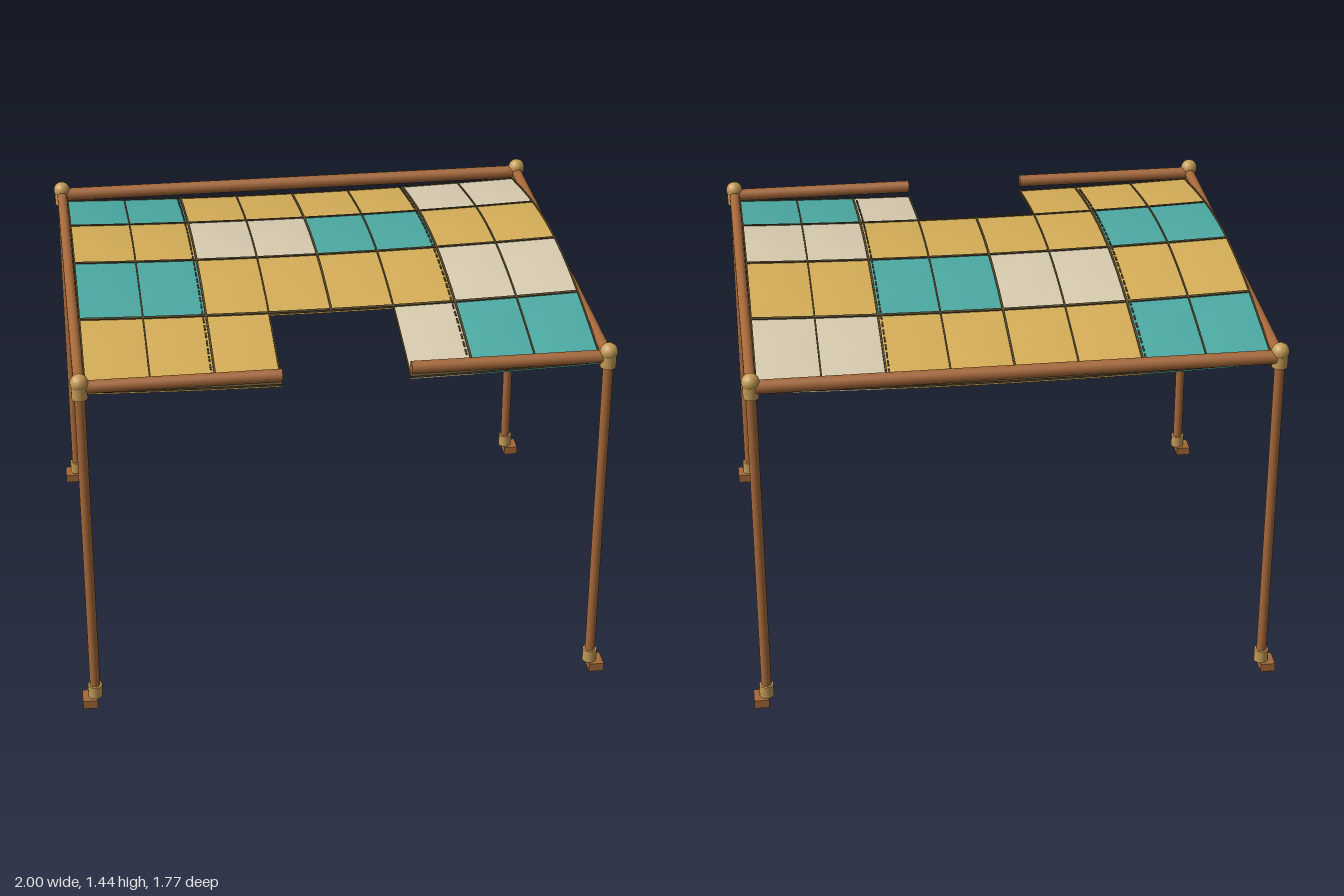
import * as THREE from 'three';

const mat = (name, color) => {
  const m = new THREE.MeshStandardMaterial({ color });
  m.name = name;
  return m;
};

export function createModel() {
  const root = new THREE.Group();
  root.name = 'patchworkCanopy';
  const copper = mat('copper', 0xa5683a);
  const brass = mat('brass', 0xc49c56);
  const seamDark = mat('dark seam', 0x54482c);
  const cloth = {
    G: mat('gold cloth', 0xd6ae58),
    T: mat('teal cloth', 0x4caaa3),
    C: mat('cream cloth', 0xd8ccb0),
  };

  const add = (name, geo, material, x = 0, y = 0, z = 0, parent = root) => {
    const m = new THREE.Mesh(geo, material);
    m.name = name;
    m.position.set(x, y, z);
    parent.add(m);
    return m;
  };
  const PX = 0.951, PZ = 0.846, RAIL = 1.35;

  // Posts with feet, collars and ball joints
  for (const sx of [-1, 1]) for (const sz of [-1, 1]) {
    const post = new THREE.Group();
    post.name = 'cornerPost';
    post.position.set(sx * PX, 0, sz * PZ);
    root.add(post);
    add('foot', new THREE.BoxGeometry(0.056, 0.034, 0.076), copper, sx * 0.021, 0.017, 0, post);
    add('footCollar', new THREE.CylinderGeometry(0.027, 0.027, 0.05, 20), brass, 0, 0.058, 0, post);
    add('pole', new THREE.CylinderGeometry(0.019, 0.019, 1.28, 20), copper, 0, 0.7, 0, post);
    add('topCollar', new THREE.CylinderGeometry(0.029, 0.029, 0.045, 20), brass, 0, 1.333, 0, post);
    add('ballJoint', new THREE.SphereGeometry(0.033, 20, 14), brass, 0, 1.371, 0, post);
  }

  // Rails; the front one is interrupted by the opening
  const railX = (name, x0, x1, z, r) => {
    add(name, new THREE.CylinderGeometry(r, r, x1 - x0, 20), copper, (x0 + x1) / 2, RAIL, z).rotation.z = Math.PI / 2;
  };
  railX('backRail', -PX, PX, -PZ, 0.026);
  railX('frontRailRight', -PX, -0.232, 0.84, 0.024);
  railX('frontRailLeft', 0.232, PX, 0.84, 0.024);
  for (const s of [-1, 1]) {
    add('sideRail', new THREE.CylinderGeometry(0.02, 0.02, PZ * 2, 20), copper, s * PX, RAIL, 0).rotation.x = Math.PI / 2;
  }

  // Arched cloth surface, sagging to the middle, with a slight puff in each patch
  const CW = 0.2325, RD = 0.415, HX = CW * 4, HZ = RD * 2;
  const surface = (x, z) =>
    1.326 + 0.108 * Math.cos((Math.PI / 2) * (z / HZ))
    - 0.018 * (1 - (x / HX) ** 2)
    + 0.004 * Math.abs(Math.sin(Math.PI * x / CW) * Math.sin(Math.PI * z / RD));

  const draped = (x0, x1, z0, z1, thick, lift, nx, nz) => {
    const g = new THREE.BoxGeometry(x1 - x0, thick, z1 - z0, nx, 1, nz);
    g.translate((x0 + x1) / 2, lift, (z0 + z1) / 2);
    const p = g.attributes.position;
    for (let i = 0; i < p.count; i++) p.setY(i, p.getY(i) + surface(p.getX(i), p.getZ(i)));
    g.computeVertexNormals();
    return g;
  };

  // Patches: eight half-columns by four rows, back to front
  const canopy = new THREE.Group();
  canopy.name = 'canopy';
  root.add(canopy);
  const rows = ['TTGGGGCC', 'GGCCTTGG', 'TTGGGGCC', 'GGG  CTT'];
  rows.forEach((row, r) => [...row].forEach((c, k) => {
    if (c === ' ') return;
    const x = -HX + k * CW, z = -HZ + r * RD;
    add('clothPatch', draped(x, x + CW, z, z + RD, 0.012, -0.006, 6, 10), cloth[c], 0, 0, 0, canopy);
  }));

  // Seams along and across the canopy
  const seam = (name, x0, x1, z0, z1, nx, nz) =>
    add(name, draped(x0, x1, z0, z1, 0.007, 0.0005, nx, nz), seamDark, 0, 0, 0, canopy);
  for (let k = 0; k <= 8; k++) {
    const x = -HX + k * CW;
    const w = k % 8 === 0 ? 0.003 : k % 2 ? 0.003 : 0.004;
    seam('lengthSeam', x - w, x + w, -HZ, k === 4 ? RD : HZ, 1, 40);
  }
  for (let r = 0; r <= 4; r++) {
    const z = -HZ + r * RD;
    const spans = r === 4 ? [[-HX, -CW], [CW, HX]] : [[-HX, HX]];
    for (const [a, b] of spans) seam('crossSeam', a, b, z - 0.006, z + 0.006, 48, 1);
  }

  // Dashed stitching beside two seams
  for (const x of [-0.477, 0.453]) {
    for (let z = -HZ + 0.02; z < HZ - 0.04; z += 0.046) {
      seam('stitch', x - 0.003, x + 0.003, z, z + 0.028, 1, 2);
    }
  }
  return root;
}
